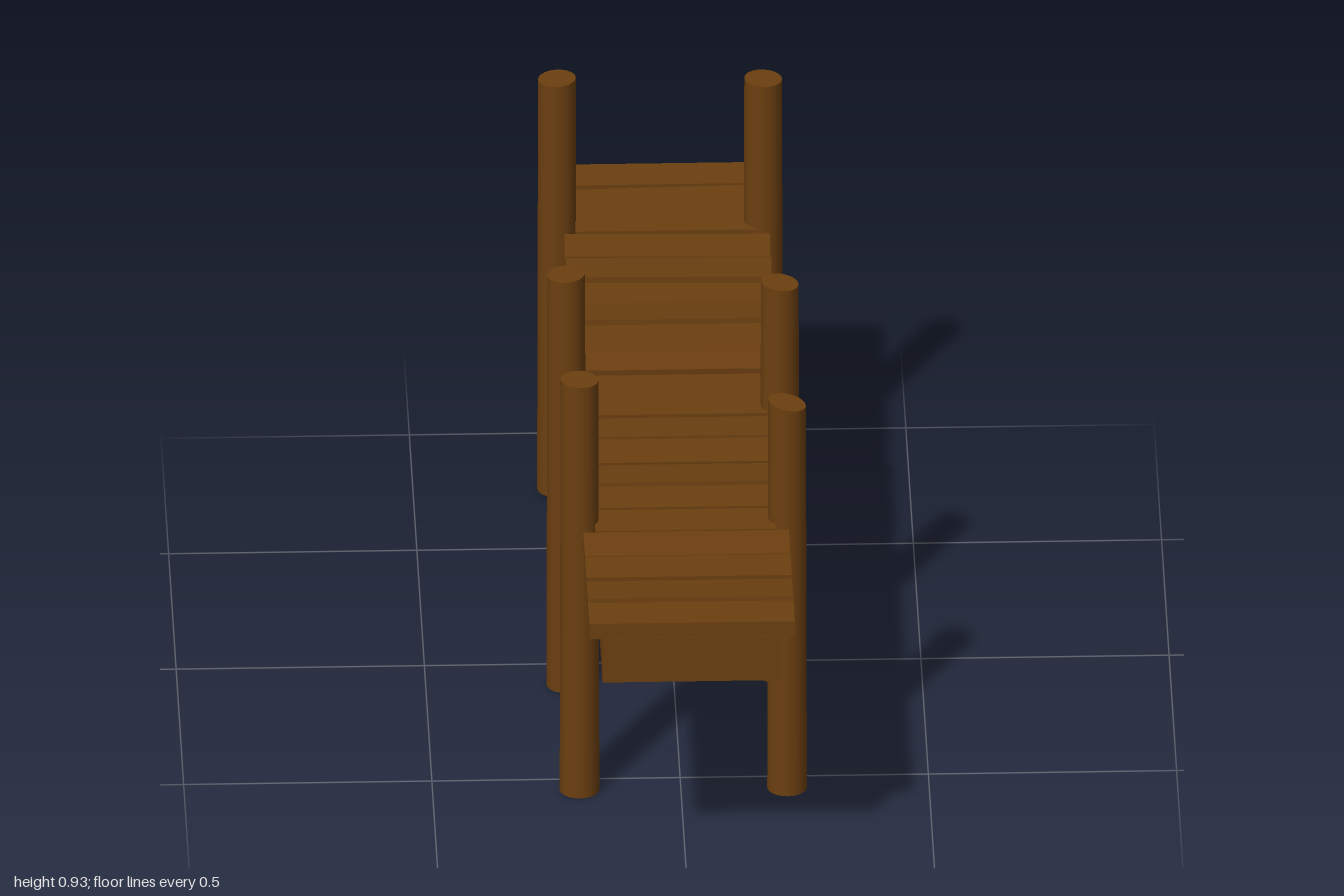
import * as THREE from 'three';

export function createModel() {
  const model = new THREE.Group();
  model.name = 'pier';
  const wood = new THREE.MeshStandardMaterial({ color: 0x6b3f10 });
  wood.name = 'brown wood';

  const box = (name, w, h, d, x, y, z) => {
    const mesh = new THREE.Mesh(new THREE.BoxGeometry(w, h, d), wood);
    mesh.name = name;
    mesh.position.set(x, y, z);
    model.add(mesh);
    return mesh;
  };

  // Solid base under the deck
  box('deckBase', 0.363, 0.1, 2, 0.01, 0.531, 0);

  // Loose planks from front to back: [lift, tilt, yaw]
  const planks = [
    [0, 0, 0], [0, -0.09, 0], [0, 0, 0], [0, 0.07, 0], [0, 0, 0],
    [0, 0, 0], [0, -0.09, 0], [0, 0.06, 0], [0, -0.06, 0], [0, 0, 0],
    [-0.012, 0.04, 0], [0, 0.07, 0], [-0.003, 0.04, 0], [0, -0.1, 0], [-0.014, 0.03, -0.025],
    [-0.006, -0.04, -0.02], [-0.008, 0.04, -0.025], [-0.004, 0, 0], [-0.008, 0.06, 0.025], [-0.004, 0, 0],
  ];
  const besidePosts = [4, 9, 17];
  planks.forEach(([lift, tilt, yaw], i) => {
    const width = besidePosts.includes(i) ? 0.365 : 0.414;
    const plank = box('plank', width, 0.034, 0.091, 0.009, 0.597 + lift, 0.954 - i * 0.1004);
    plank.rotation.set(tilt, yaw, 0);
  });

  // Round posts with slightly uneven sawn tops: [x, z, height, slope]
  const posts = [
    [-0.21, -0.76, 0.932, 0.05], [0.205, -0.748, 0.932, -0.04],
    [-0.217, 0.088, 0.932, 0.06], [0.214, 0.062, 0.893, -0.12],
    [-0.204, 0.545, 0.932, -0.04], [0.214, 0.548, 0.875, -0.2],
  ];
  posts.forEach(([x, z, height, slope]) => {
    const geo = new THREE.CylinderGeometry(0.038, 0.04, height, 20);
    geo.translate(0, height / 2, 0);
    const p = geo.attributes.position;
    for (let i = 0; i < p.count; i++) {
      if (p.getY(i) > height / 2) p.setY(i, height + slope * p.getX(i));
    }
    const post = new THREE.Mesh(geo, wood);
    post.name = 'post';
    post.position.set(x, 0, z);
    model.add(post);
  });

  return model;
}
